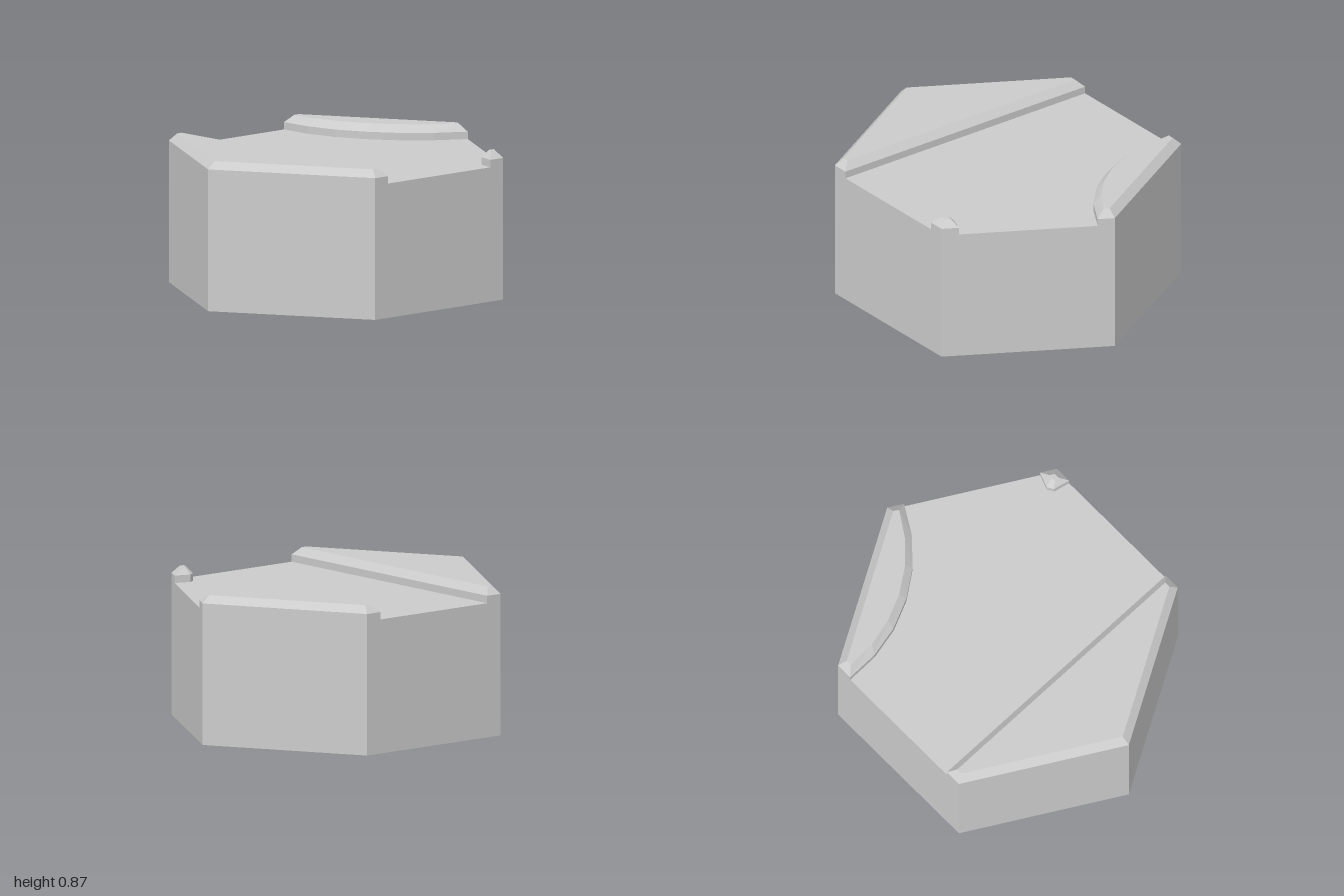
import * as THREE from 'three';

const BASE = 0.78, RIM = 0.823, TOP = 0.866; // heights of floor, chamfer start and plateau
const W = Math.sqrt(3) / 2;

const material = new THREE.MeshStandardMaterial({ color: 0xcccccc, flatShading: true });

// Points [x, z] on an arc, angle in degrees measured from +z towards +x
function arc(cx, cz, r, from, to, segments) {
  return Array.from({ length: segments + 1 }, (_, i) => {
    const a = THREE.MathUtils.degToRad(from + ((to - from) * i) / segments);
    return [cx + r * Math.sin(a), cz + r * Math.cos(a)];
  });
}

// Raised plateau: vertical wall around `outer`, chamfer up to `inner`, flat cap.
// Both outlines run counter-clockwise seen from above and match point for point.
function plateau(name, outer, inner) {
  const rings = [[outer, BASE], [outer, RIM], [inner, TOP]]
    .map(([pts, y]) => pts.map(([x, z]) => [x, y, z]));
  const n = outer.length;
  const pos = [];
  for (let k = 0; k < 2; k++) {
    for (let i = 0; i < n; i++) {
      const j = (i + 1) % n;
      const a = rings[k][i], b = rings[k][j], c = rings[k + 1][j], d = rings[k + 1][i];
      pos.push(...a, ...b, ...c, ...a, ...c, ...d);
    }
  }
  const flat = inner.map(([x, z]) => new THREE.Vector2(x, -z));
  for (const face of THREE.ShapeUtils.triangulateShape(flat, [])) {
    for (const i of face) pos.push(...rings[2][i]);
  }
  const geometry = new THREE.BufferGeometry();
  geometry.setAttribute('position', new THREE.Float32BufferAttribute(pos, 3));
  geometry.computeVertexNormals();
  const mesh = new THREE.Mesh(geometry, material);
  mesh.name = name;
  return mesh;
}

export function createModel() {
  const group = new THREE.Group();
  group.name = 'hexTile';

  // Hexagonal block with corners at front and back
  const block = new THREE.Mesh(new THREE.CylinderGeometry(1, 1, BASE, 6), material);
  block.position.y = BASE / 2;
  block.name = 'hexBlock';
  group.add(block);

  // Straight-edged plateau across the front
  group.add(plateau('frontPlateau',
    [[-W, 0.5], [0, 1], [W, 0.5], [W, 0.4], [-W, 0.4]],
    [[-0.823, 0.475], [0, 0.95], [0.823, 0.475], [0.823, 0.44], [-0.823, 0.44]]));

  // Plateau with a curved edge at the back
  group.add(plateau('curvedPlateau',
    [[-W, -0.5], ...arc(-0.78, -1.35, 0.954, -5.2, 65.2, 6), [0, -1]],
    [[-0.823, -0.475], ...arc(-0.78, -1.35, 0.911, -2.7, 62.7, 6), [0, -0.95]]));

  // Small raised corner
  group.add(plateau('cornerNub',
    [[W, -0.5], [W - 0.0866, -0.55], [0.746, -0.46], [0.767, -0.423], [W, -0.4]],
    [[0.823, -0.475], [0.797, -0.49], [0.791, -0.467], [0.8, -0.451], [0.823, -0.445]]));

  return group;
}
